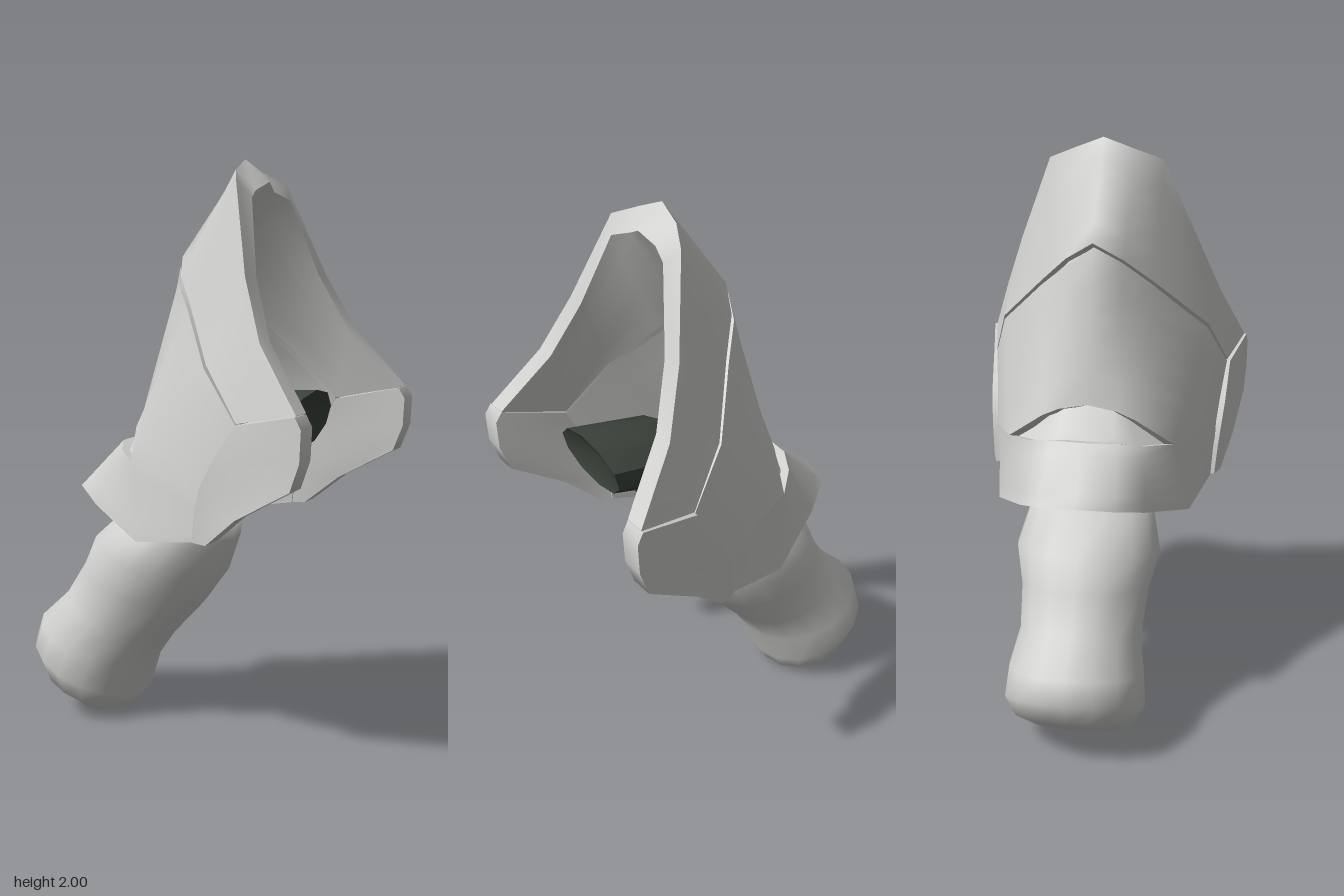
import * as THREE from 'three';
import { mergeGeometries, toCreasedNormals } from 'three/addons/utils/BufferGeometryUtils.js';

const { lerp, smoothstep } = THREE.MathUtils;

// Shift a point into the shell: forward at the ridge, sideways on the flanks
function inward([x, y, z], depth) {
  const r = Math.min(1, z / 0.35);
  const slope = lerp(0.2, 0.8, smoothstep(y, 1.5, 1.8));
  const d = depth * lerp(0.105, 0.075, r);
  return [x + 0.85 * d * (1 - r), y - 0.9 * d * slope * (1 - r * r * r), z - d * r];
}

function along(curve, s) {
  const f = s * (curve.length - 1), i = Math.min(Math.floor(f), curve.length - 2);
  return [0, 1, 2].map((c) => lerp(curve[i][c], curve[i + 1][c], f - i));
}

function sheet(fn, nu, nv) {
  const pos = [], idx = [];
  for (let j = 0; j <= nv; j++) for (let i = 0; i <= nu; i++) {
    pos.push(...fn(i / nu, j / nv));
    if (i < nu && j < nv) {
      const a = j * (nu + 1) + i, b = a + nu + 1;
      idx.push(a, b, a + 1, a + 1, b, b + 1);
    }
  }
  const g = new THREE.BufferGeometry();
  g.setAttribute('position', new THREE.Float32BufferAttribute(pos, 3));
  g.setIndex(idx);
  g.computeVertexNormals();
  return g;
}

// Thick plate ruled between two edges; negative s is the mirrored side.
// Depth 0 is the outer skin, 1 the inner skin.
function plate(A, B, outer = 0, s0 = -1, s1 = 1) {
  const nu = (A.length - 1) * (s1 - s0), nv = 5;
  const P = (u, t, d) => {
    const s = lerp(s0, s1, u), a = along(A, Math.abs(s)), b = along(B, Math.abs(s));
    const p = inward(a.map((v, c) => lerp(v, b[c], t)), lerp(outer, 1, d));
    if (s < 0 || s1 === 0) p[2] *= -1;
    return p;
  };
  return mergeGeometries([
    sheet((u, v) => P(u, v, 0), nu, nv),
    sheet((u, v) => P(1 - u, v, 1), nu, nv),
    sheet((u, v) => P(u, 0, 1 - v), nu, 1),
    sheet((u, v) => P(u, 1, v), nu, 1),
    sheet((u, v) => P(1, 1 - v, 1 - u), 1, nv),
    sheet((u, v) => P(0, v, 1 - u), 1, nv),
  ]);
}

// Oval rings through pairs of side-on points: [leftX, leftY, rightX, rightY, halfDepth, centreZ]
function loft(sections, sides) {
  const pos = [], idx = [];
  sections.forEach(([lx, ly, rx, ry, hz, cz = 0], i) => {
    for (let j = 0; j < sides; j++) {
      const a = (j / sides) * Math.PI * 2, c = Math.cos(a) / 2;
      pos.push((lx + rx) / 2 + (rx - lx) * c, (ly + ry) / 2 + (ry - ly) * c, cz + hz * Math.sin(a));
      if (i < sections.length - 1) {
        const p = i * sides + j, q = i * sides + (j + 1) % sides;
        idx.push(p, p + sides, q, q, p + sides, q + sides);
      }
    }
  });
  const g = new THREE.BufferGeometry();
  g.setAttribute('position', new THREE.Float32BufferAttribute(pos, 3));
  g.setIndex(idx);
  return g;
}

export function createModel() {
  const group = new THREE.Group();
  const grey = new THREE.MeshStandardMaterial({ color: 0xd0d1ce });
  grey.name = 'light grey';
  const dark = new THREE.MeshStandardMaterial({ color: 0x3c443c });
  dark.name = 'dark green grey';
  const add = (name, geometry, material) => {
    const m = new THREE.Mesh(geometry, material);
    m.name = name;
    group.add(m);
  };

  // Edges run from the centre ridge towards the open front
  const rim = [[0.2, 2, 0], [0.215, 1.962, 0.1], [0.265, 1.92, 0.2], [0.36, 1.62, 0.325], [0.45, 1.42, 0.405], [0.61, 1.22, 0.49]];
  const seamTop = [[-0.04, 1.68, 0], [0.008, 1.615, 0.1], [0.1, 1.52, 0.2], [0.25, 1.345, 0.375], [0.388, 1.176, 0.44], [0.605, 1.217, 0.49]];
  const seamLow = [[-0.05, 1.64, 0], [-0.002, 1.592, 0.1], [0.09, 1.505, 0.2], [0.24, 1.335, 0.372], [0.388, 1.168, 0.44]];
  const slotTop = [[-0.15, 1.15, 0], [-0.147, 1.13, 0.1], [-0.135, 1.1, 0.16], [-0.08, 1.0, 0.29], [0.25, 0.92, 0.414]];
  const slotLow = [[-0.225, 1.04, 0], [-0.215, 1.04, 0.115], [-0.17, 1.02, 0.2], [-0.08, 1.0, 0.29], [0.25, 0.92, 0.414]];
  const bottom = [[-0.42, 0.88, 0], [-0.385, 0.865, 0.13], [-0.27, 0.82, 0.215], [-0.03, 0.74, 0.345], [0.238, 0.78, 0.405]];

  // Layered guard, with recessed strips behind the seam and the slot
  add('upperPlate', plate(rim, seamTop), grey);
  add('seamGroove', plate(seamTop.slice(0, 5), seamLow, 0.35), grey);
  add('middlePlate', plate(seamLow, slotTop), grey);
  add('slotRecess', plate(slotTop.slice(0, 4), slotLow.slice(0, 4), 0.5), grey);
  add('lowerBand', plate(slotLow, bottom), grey);

  // Raised side plates
  const cheekFront = [[0.61, 1.217, 0.49], [0.632, 1.18, 0.494], [0.628, 1.08, 0.494], [0.595, 0.99, 0.488], [0.4, 0.88, 0.46], [0.28, 0.78, 0.425]];
  const cheekRear = [[0.385, 1.17, 0.441], [0.345, 1.11, 0.437], [0.3, 1.04, 0.432], [0.26, 0.97, 0.424], [0.235, 0.89, 0.415], [0.22, 0.78, 0.405]];
  add('leftSidePlate', plate(cheekFront, cheekRear, -0.13, 0, 1), grey);
  add('rightSidePlate', plate(cheekFront, cheekRear, -0.13, -1, 0), grey);

  // Rounded limb below the guard
  const limb = loft([
    [-0.43, 0.05, -0.43, 0.05, 0],
    [-0.5, 0.1, -0.32, 0.0, 0.14],
    [-0.6, 0.18, -0.25, 0.02, 0.21],
    [-0.635, 0.27, -0.21, 0.08, 0.245],
    [-0.61, 0.35, -0.17, 0.2, 0.235],
    [-0.5, 0.45, -0.1, 0.3, 0.212],
    [-0.42, 0.57, 0.03, 0.44, 0.225],
    [-0.365, 0.68, 0.115, 0.56, 0.255],
    [-0.24, 0.79, 0.165, 0.7, 0.22],
    [-0.12, 0.81, 0.18, 0.77, 0.16],
    [0.03, 0.79, 0.03, 0.79, 0],
  ], 16);
  limb.computeVertexNormals();
  add('limb', limb, grey);

  // Dark bent rod inside the guard, its end face tipped downwards
  const rod = loft([
    [-0.06, 0.68, -0.06, 0.68, 0],
    [-0.16, 0.74, 0.02, 0.62, 0.158],
    [0.05, 1.1, 0.29, 0.95, 0.15, 0.025],
    [0.2, 1.23, 0.34, 1.03, 0.16, 0.035],
    [0.495, 1.25, 0.44, 1.045, 0.18, 0.06],
    [0.43, 1.15, 0.43, 1.15, 0, 0.06],
  ], 10);
  add('innerRod', toCreasedNormals(rod, 0.7), dark);

  return group;
}
